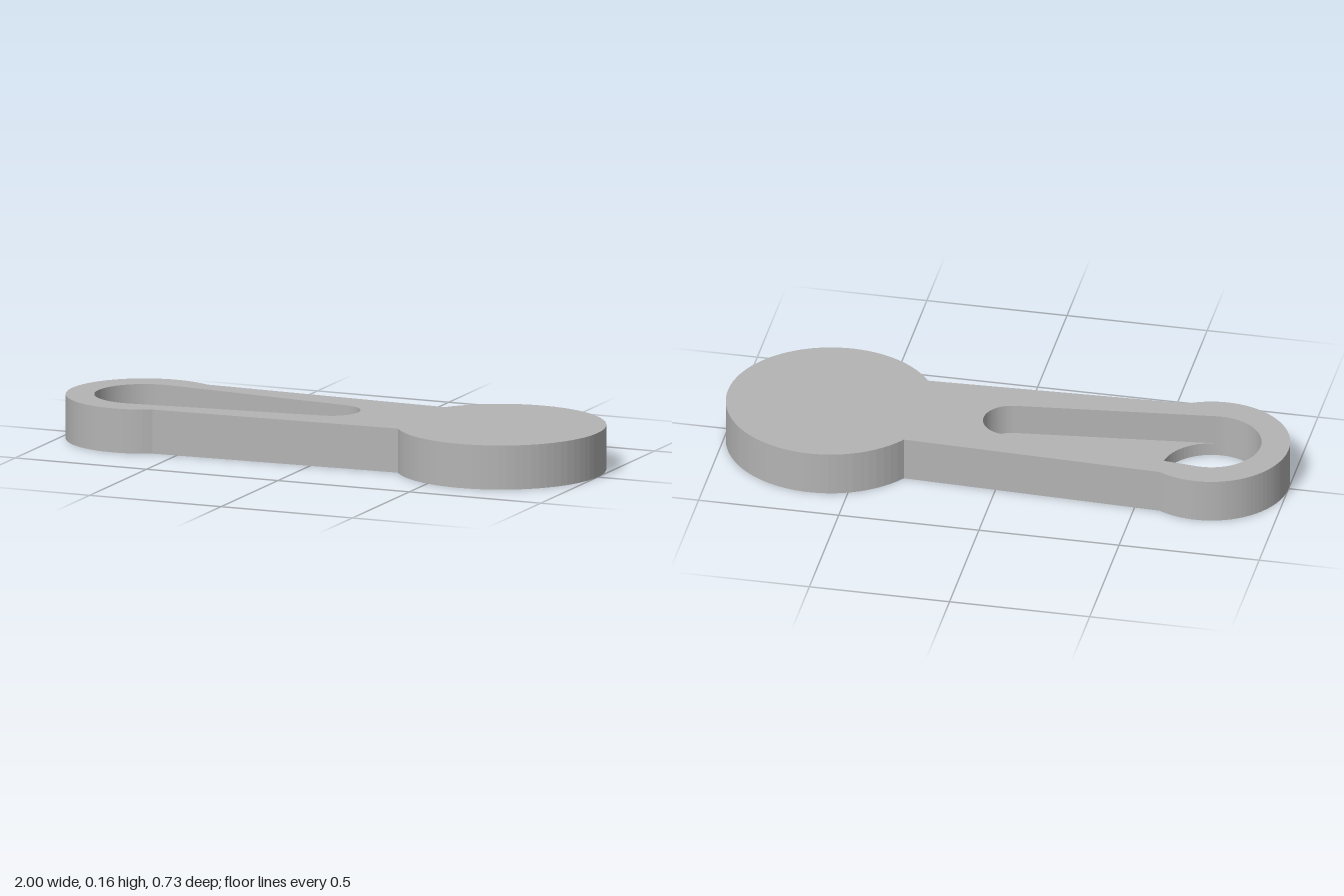
import * as THREE from 'three';

const HEIGHT = 0.157, FLOOR = 0.047;
const RING = { x: -0.725, r: 0.275, bore: 0.175 };
const DISC = { x: 0.633, r: 0.367 };
const TIP = { x: -0.012, r: 0.1 };

// Ring and disc joined by a slightly tapering arm
function bodyOutline() {
  const a = Math.asin(0.24 / RING.r);
  const b = Math.PI - Math.asin(0.206 / DISC.r);
  const s = new THREE.Shape();
  s.absarc(RING.x, 0, RING.r, a, Math.PI * 2 - a, false);
  s.absarc(DISC.x, 0, DISC.r, -b, b, false);
  s.closePath();
  return s;
}

function circle(x, r) {
  return new THREE.Path().absarc(x, 0, r, 0, Math.PI * 2, false);
}

// Teardrop pocket: bore circle and small round tip joined by tangents
function pocketOutline() {
  const t = Math.acos((RING.bore - TIP.r) / (TIP.x - RING.x));
  const p = new THREE.Path();
  p.absarc(RING.x, 0, RING.bore, t, Math.PI * 2 - t, false);
  p.absarc(TIP.x, 0, TIP.r, -t, t, false);
  p.closePath();
  return p;
}

function layer(name, holes, y0, y1, material) {
  const shape = bodyOutline();
  shape.holes.push(...holes);
  const geo = new THREE.ExtrudeGeometry(shape, { depth: y1 - y0, bevelEnabled: false, curveSegments: 32 });
  geo.rotateX(-Math.PI / 2).translate(0, y0, 0);
  const mesh = new THREE.Mesh(geo, material);
  mesh.name = name;
  return mesh;
}

export function createModel() {
  const grey = new THREE.MeshStandardMaterial({ color: 0xb4b4b4 });
  grey.name = 'grey';
  const group = new THREE.Group();
  group.name = 'leverArm';

  // Pocket floor with the bore and two screw holes
  const drilled = [circle(RING.x, RING.bore), circle(-0.29, 0.035), circle(-0.083, 0.035)];
  group.add(layer('basePlate', drilled, 0, FLOOR, grey));

  // Raised body around the pocket
  group.add(layer('pocketBody', [pocketOutline()], FLOOR, HEIGHT, grey));
  return group;
}
